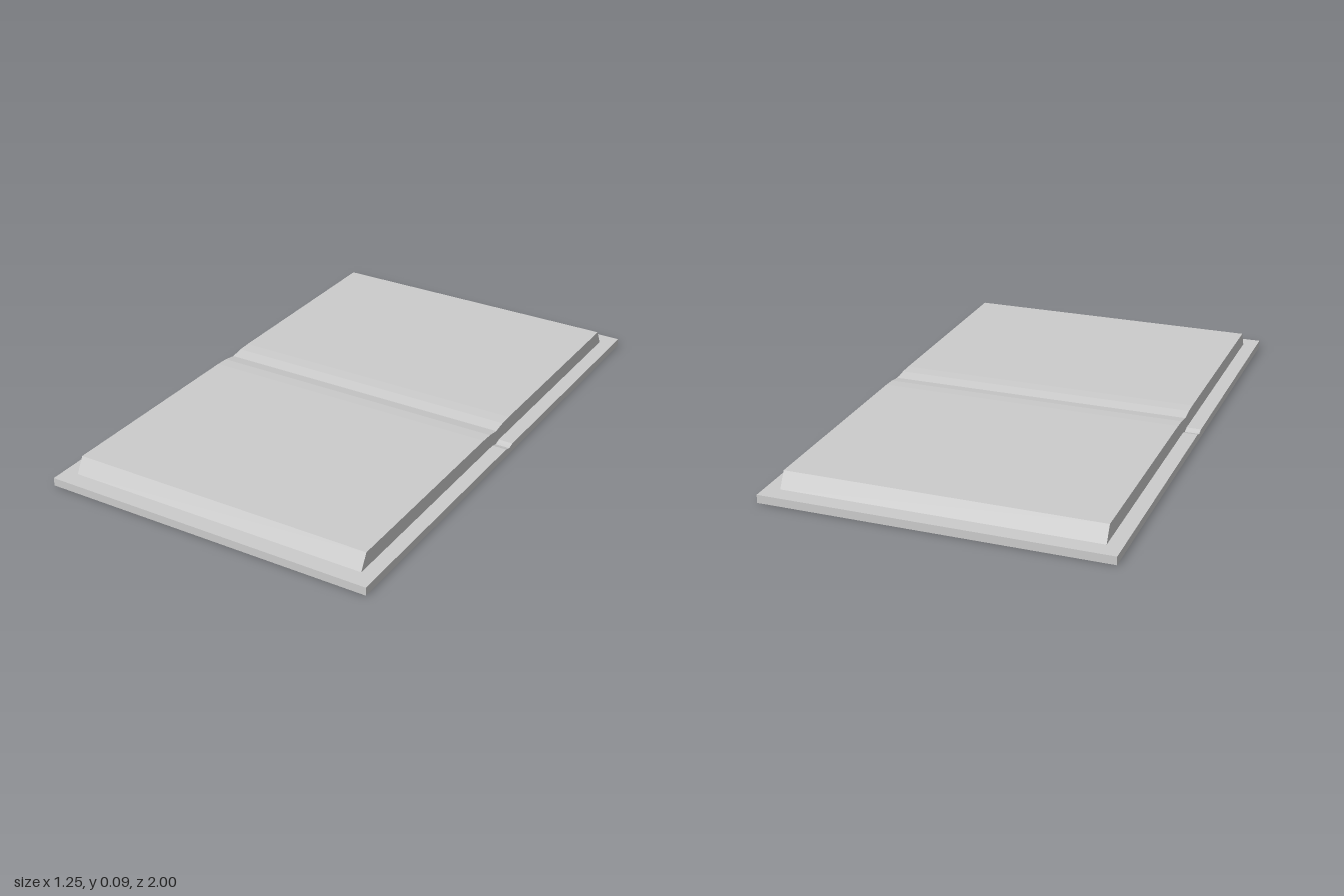
import * as THREE from 'three';

const material = new THREE.MeshStandardMaterial({ color: 0xcccccc, flatShading: true });

// Extrudes a (z, y) profile across the width, centred on x = 0
function extrudeAcross(name, profile, width) {
  const shape = new THREE.Shape(profile.map(([z, y]) => new THREE.Vector2(-z, y)));
  const geometry = new THREE.ExtrudeGeometry(shape, { depth: width, bevelEnabled: false });
  geometry.translate(0, 0, -width / 2).rotateY(Math.PI / 2);
  const mesh = new THREE.Mesh(geometry, material);
  mesh.name = name;
  return mesh;
}

// Shallow fold at the middle of a level surface, from +z to -z
function fold(level, drops) {
  const half = drops.map(([z, drop]) => [z, level - drop]);
  return [...half, ...half.slice(0, -1).reverse().map(([z, y]) => [-z, y])];
}

export function createModel() {
  const group = new THREE.Group();
  group.name = 'openBook';

  const coverTop = 0.03;
  const pageTop = 0.087;
  const spineFold = fold(coverTop, [[0.025, 0], [0.012, 0.004], [0, 0.007]]);
  const pageFold = fold(pageTop, [[0.1, 0], [0.05, 0.002], [0.025, 0.006], [0, 0.01]]);

  // Thin flat cover with a slight spine crease
  group.add(extrudeAcross('cover', [[1, 0], [1, coverTop], ...spineFold, [-1, coverTop], [-1, 0]], 1.25));

  // Page block with slanted fore edges and a dip along the gutter
  group.add(extrudeAcross('pages', [
    [0.937, coverTop], [0.906, pageTop], ...pageFold,
    [-0.906, pageTop], [-0.937, coverTop], ...[...spineFold].reverse(),
  ], 1.142));

  return group;
}
